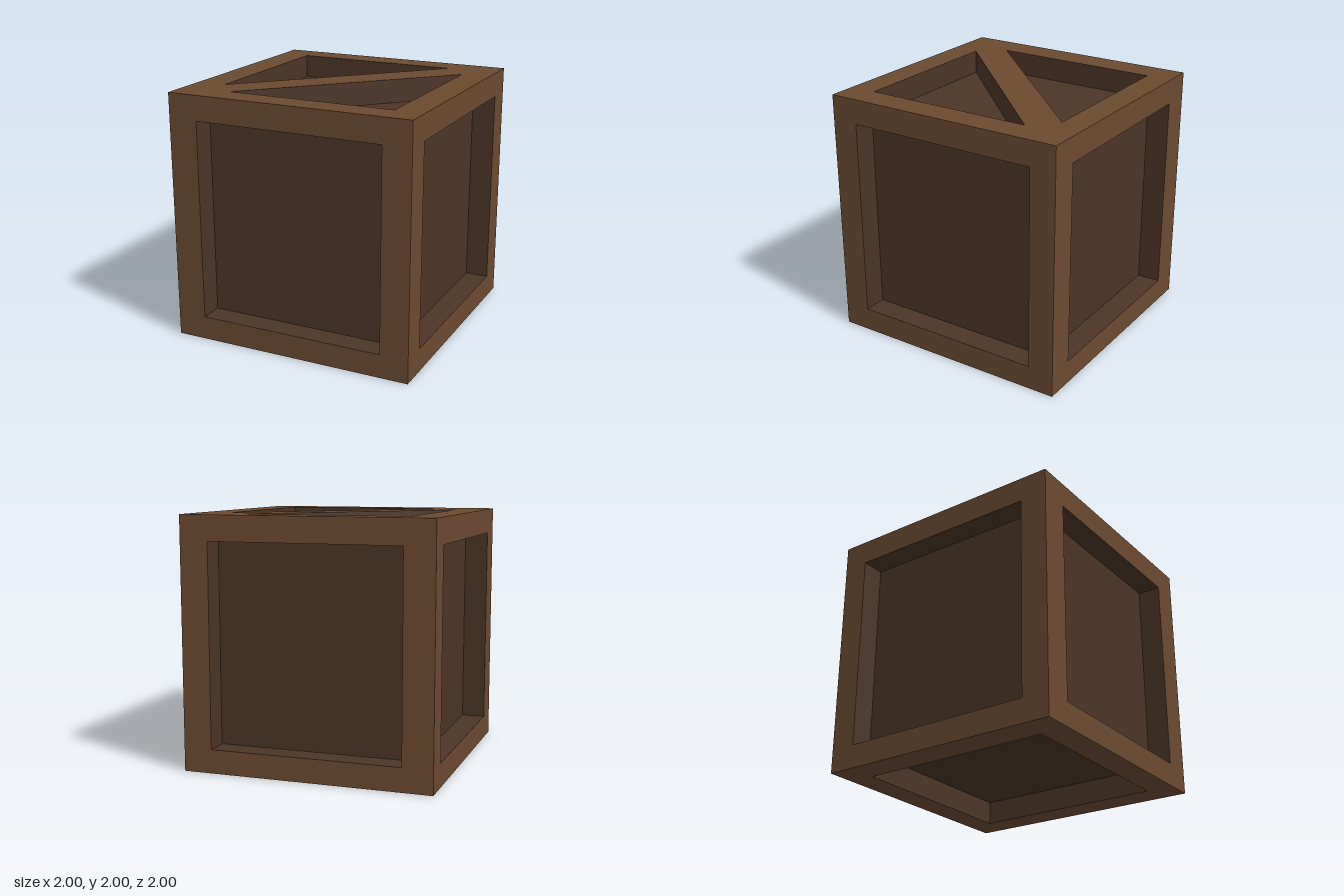
import * as THREE from 'three';

const DEPTH = 0.19; // how far the panels sit behind the frame

const frameMat = new THREE.MeshStandardMaterial({ color: 0x6b4a30, flatShading: true });
const panelMat = new THREE.MeshStandardMaterial({ color: 0x4c3525, flatShading: true });

const toPoints = (list) => list.map(([x, y]) => new THREE.Vector2(x, y));
const rect = (x0, x1, y0, y1) => [[x0, y0], [x1, y0], [x1, y1], [x0, y1]];

function addMesh(parent, name, geometry, material) {
  const mesh = new THREE.Mesh(geometry, material);
  mesh.name = name;
  parent.add(mesh);
  return mesh;
}

// Inward-facing walls around a counter-clockwise opening
function recessWalls(outline) {
  const pos = [];
  outline.forEach(([ax, ay], i) => {
    const [bx, by] = outline[(i + 1) % outline.length];
    pos.push(ax, ay, 0, bx, by, 0, bx, by, -DEPTH);
    pos.push(ax, ay, 0, bx, by, -DEPTH, ax, ay, -DEPTH);
  });
  const geometry = new THREE.BufferGeometry();
  geometry.setAttribute('position', new THREE.Float32BufferAttribute(pos, 3));
  geometry.computeVertexNormals();
  return geometry;
}

// One crate side, facing +z: flat frame with openings, recess walls and sunken panel
function crateSide(name, openings) {
  const side = new THREE.Group();
  side.name = name;
  const frame = new THREE.Shape(toPoints(rect(-1, 1, -1, 1)));
  frame.holes = openings.map((o) => new THREE.Path(toPoints(o)));
  addMesh(side, name + 'Frame', new THREE.ShapeGeometry(frame), frameMat);
  for (const o of openings) {
    addMesh(side, name + 'RecessWalls', recessWalls(o), panelMat);
    const panel = new THREE.ShapeGeometry(new THREE.Shape(toPoints(o)));
    addMesh(side, name + 'Panel', panel.translate(0, 0, -DEPTH), panelMat);
  }
  return side;
}

export function createModel() {
  const crate = new THREE.Group();
  crate.name = 'crate';

  // The lid's two triangular openings leave a diagonal brace between them
  const lidOpenings = [
    [[-0.76, 0.79], [-0.76, -0.575], [0.575, 0.79]],
    [[0.77, 0.6], [-0.59, -0.78], [0.77, -0.78]],
  ];

  // name, openings, rotation about x, rotation about y, outward direction
  const q = Math.PI / 2;
  const sides = [
    ['front', [rect(-0.76, 0.77, -0.81, 0.8)], 0, 0, [0, 0, 1]],
    ['back', [rect(-0.77, 0.76, -0.81, 0.8)], 0, 2 * q, [0, 0, -1]],
    ['leftSide', [rect(-0.78, 0.79, -0.81, 0.8)], 0, q, [1, 0, 0]],
    ['rightSide', [rect(-0.79, 0.78, -0.81, 0.8)], 0, -q, [-1, 0, 0]],
    ['lid', lidOpenings, -q, 0, [0, 1, 0]],
    ['base', [rect(-0.76, 0.77, -0.79, 0.78)], q, 0, [0, -1, 0]],
  ];
  for (const [name, openings, rx, ry, [x, y, z]] of sides) {
    const side = crateSide(name, openings);
    side.rotation.set(rx, ry, 0);
    side.position.set(x, y + 1, z);
    crate.add(side);
  }
  return crate;
}
